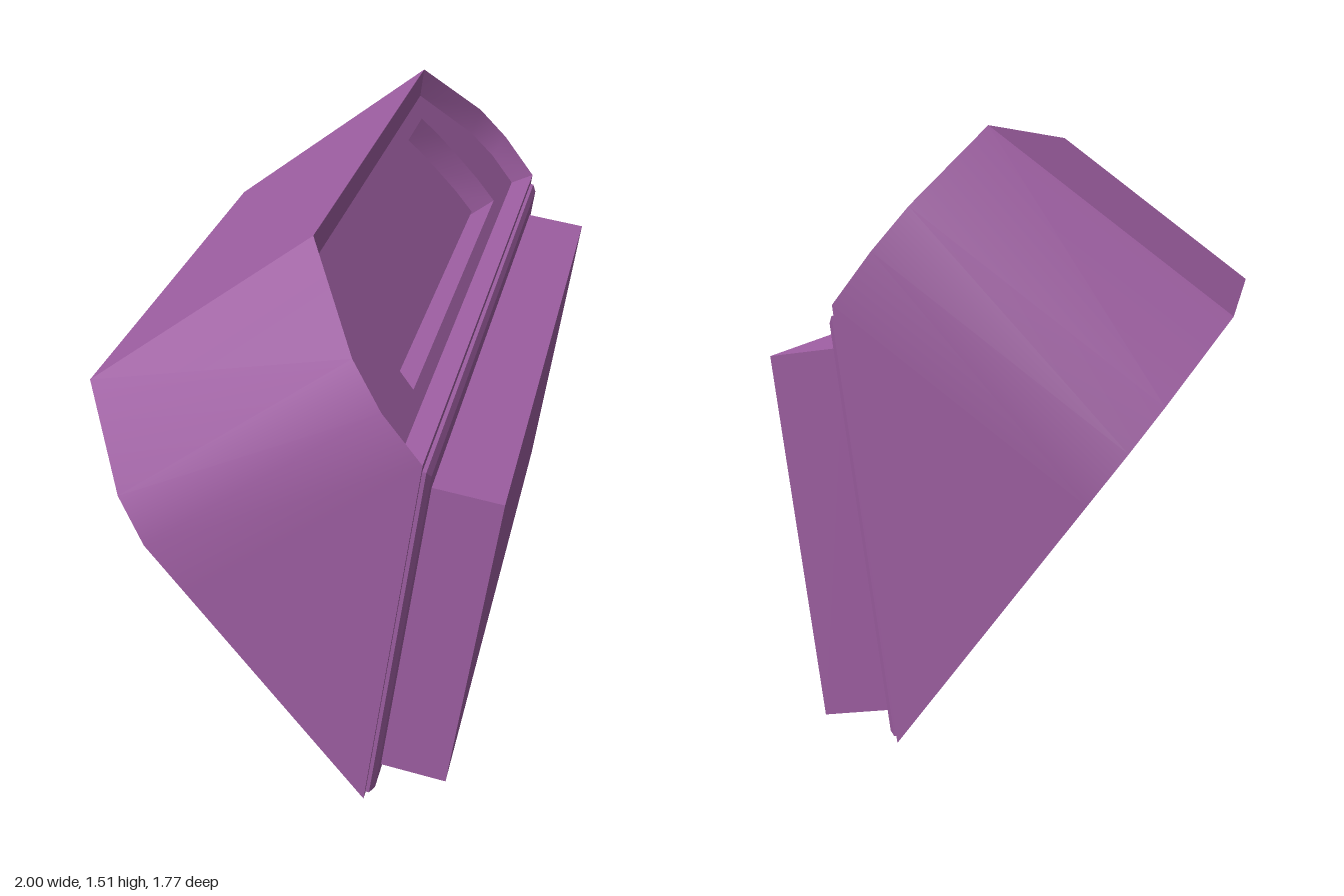
import * as THREE from 'three';
import { toCreasedNormals } from 'three/addons/utils/BufferGeometryUtils.js';

const material = new THREE.MeshStandardMaterial({ color: 0x9f5fa3 });

// Right half of an outline, bottom to top, mirrored into a counter-clockwise loop
const mirrorLoop = (half) => [...half, ...half.map(([x, y]) => [-x, y]).reverse()];
const atDepth = (loop, z) => loop.map(([x, y]) => [x, y, typeof z === 'function' ? z(y) : z]);
const rect = (w, y0, y1) => mirrorLoop([[w, y0], [w, y1]]);

// Convex polygons joining successive loops
function loft(...loops) {
  const polys = [];
  for (let k = 0; k < loops.length - 1; k++) {
    const a = loops[k], b = loops[k + 1], n = a.length;
    for (let i = 0; i < n; i++) {
      const j = (i + 1) % n;
      polys.push([a[i], a[j], b[j], b[i]]);
    }
  }
  return polys;
}

// Fans convex polygons into one mesh, smooth only across gentle bends
function polyMesh(name, polys) {
  const pos = [];
  const t = new THREE.Triangle();
  for (const p of polys) {
    for (let i = 1; i < p.length - 1; i++) {
      t.a.set(...p[0]);
      t.b.set(...p[i]);
      t.c.set(...p[i + 1]);
      if (t.getArea() > 1e-7) pos.push(...p[0], ...p[i], ...p[i + 1]);
    }
  }
  const g = new THREE.BufferGeometry();
  g.setAttribute('position', new THREE.Float32BufferAttribute(pos, 3));
  const mesh = new THREE.Mesh(toCreasedNormals(g, 0.5), material);
  mesh.name = name;
  return mesh;
}

export function createModel() {
  const model = new THREE.Group();
  model.name = 'tiltedCase';
  const body = new THREE.Group();
  body.name = 'body';
  // The whole case is turned to one side and tipped back on its lower edge
  body.rotation.set(-0.651, 0.568, 0, 'YXZ');
  body.position.set(0.093, 0, 0.146);
  model.add(body);

  const D = 0.77, floorZ = 0.715;
  const shoulder = [[0.94, D], [0.94, 0.931], [0.89, 1.063], [0.665, 1.308]];
  const outline = mirrorLoop([[0.94, 0], ...shoulder]);

  // Shell: back, sides, roof and the sloping lower front
  const back = atDepth(outline, 0);
  body.add(polyMesh('shell', [
    [...back].reverse(),
    ...loft(back, atDepth(outline, (y) => Math.min(y, D))),
    [[-0.94, 0, 0], [0.94, 0, 0], [0.94, D, D], [-0.94, D, D]],
  ]));

  // Bevelled frame around the upper front
  const inner = mirrorLoop([[0.88, 0.8], [0.88, 0.915], [0.838, 1.024], [0.648, 1.249]]);
  body.add(polyMesh('upperFrame', loft(atDepth(mirrorLoop(shoulder), D), atDepth(inner, floorZ))));

  // Upper face with the window opening
  const win = mirrorLoop([[0.634, 0.839], [0.628, 0.93], [0.602, 1.04], [0.575, 1.125], [0.539, 1.204]]);
  const vec = (loop) => loop.map(([x, y]) => new THREE.Vector2(x, y));
  const face = new THREE.Shape(vec(inner));
  face.holes.push(new THREE.Path(vec(win)));
  const upperFace = new THREE.Mesh(new THREE.ShapeGeometry(face), material);
  upperFace.name = 'upperFace';
  upperFace.position.z = floorZ;
  body.add(upperFace);

  // Window recess, with a pane standing slightly clear of its walls
  const deep = atDepth(win, floorZ - 0.1);
  body.add(polyMesh('windowRecess', [...loft(atDepth(win, floorZ), deep), deep]));
  const pane = win.map(([x, y]) => [x * 0.985, 1.02 + (y - 1.02) * 0.95]);
  const paneTop = atDepth(pane, floorZ - 0.08);
  body.add(polyMesh('windowPane', [...loft(atDepth(pane, floorZ - 0.1), paneTop), paneTop]));

  // Lower front, built in the plane of the slope
  const front = new THREE.Group();
  front.name = 'lowerFront';
  front.rotation.x = Math.PI / 4;
  body.add(front);

  const plateTop = atDepth(rect(0.91, 0.022, 1.045), 0.022);
  front.add(polyMesh('frontPlate', [
    ...loft(atDepth(rect(0.925, 0.012, 1.062), 0), atDepth(rect(0.925, 0.012, 1.062), 0.01), plateTop),
    plateTop,
  ]));

  const panel = new THREE.Mesh(new THREE.BoxGeometry(1.716, 0.922, 0.19), material);
  panel.name = 'frontPanel';
  panel.position.set(0, 0.518, 0.107);
  front.add(panel);

  return model;
}
